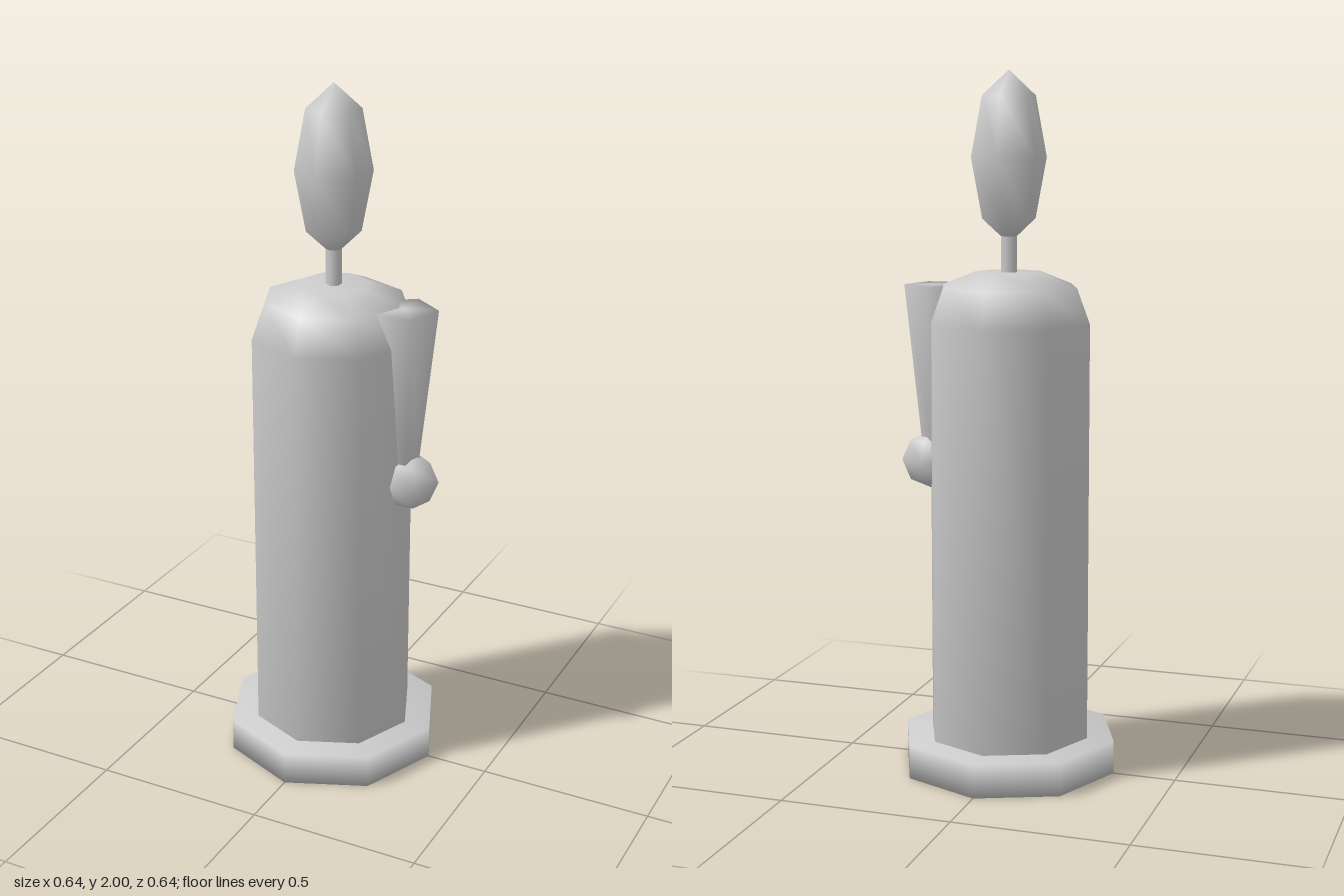
import * as THREE from 'three';

const wax = new THREE.MeshStandardMaterial({ color: 0xcccccc });
wax.name = 'paleWax';

export function createModel() {
  const model = new THREE.Group();
  model.name = 'candle';

  const add = (name, geometry, x = 0, y = 0, z = 0) => {
    const mesh = new THREE.Mesh(geometry, wax);
    mesh.name = name;
    mesh.position.set(x, y, z);
    model.add(mesh);
    return mesh;
  };

  // Smooth low-poly turned solid; profile runs from bottom to top as [radius, y]
  const turned = (profile, sides, start = 0) =>
    new THREE.LatheGeometry(profile.map(([r, y]) => new THREE.Vector2(r, y)), sides, start);

  // Low-poly ball with a corner on the z axis, stretched vertically
  const ball = (radius, sides, halfHeight) =>
    new THREE.SphereGeometry(radius, sides, 4).rotateY(-Math.PI / 2).scale(1, halfHeight / radius, 1);

  // Octagonal foot
  add('base', turned([[0, 0], [0.318, 0], [0.318, 0.097], [0, 0.097]], 8));

  // Body with a rounded shoulder
  add('candleBody', turned([[0, 0.01], [0.238, 0.01], [0.238, 1.3], [0.2, 1.4], [0.1, 1.44], [0, 1.44]], 8));

  // Wick and flame
  add('wick', turned([[0.023, 1.42], [0.023, 1.56]], 6));
  add('flame', ball(0.108, 6, 0.24), 0, 1.76, 0);

  // Wax drip running down the left side, ending in a drop
  add('waxDrip', turned([[0, 0.93], [0.046, 0.93], [0.095, 1.4], [0, 1.4]], 5, Math.PI), 0.215, 0, 0);
  add('waxDrop', ball(0.084, 5, 0.083), 0.238, 0.89, 0);

  return model;
}
